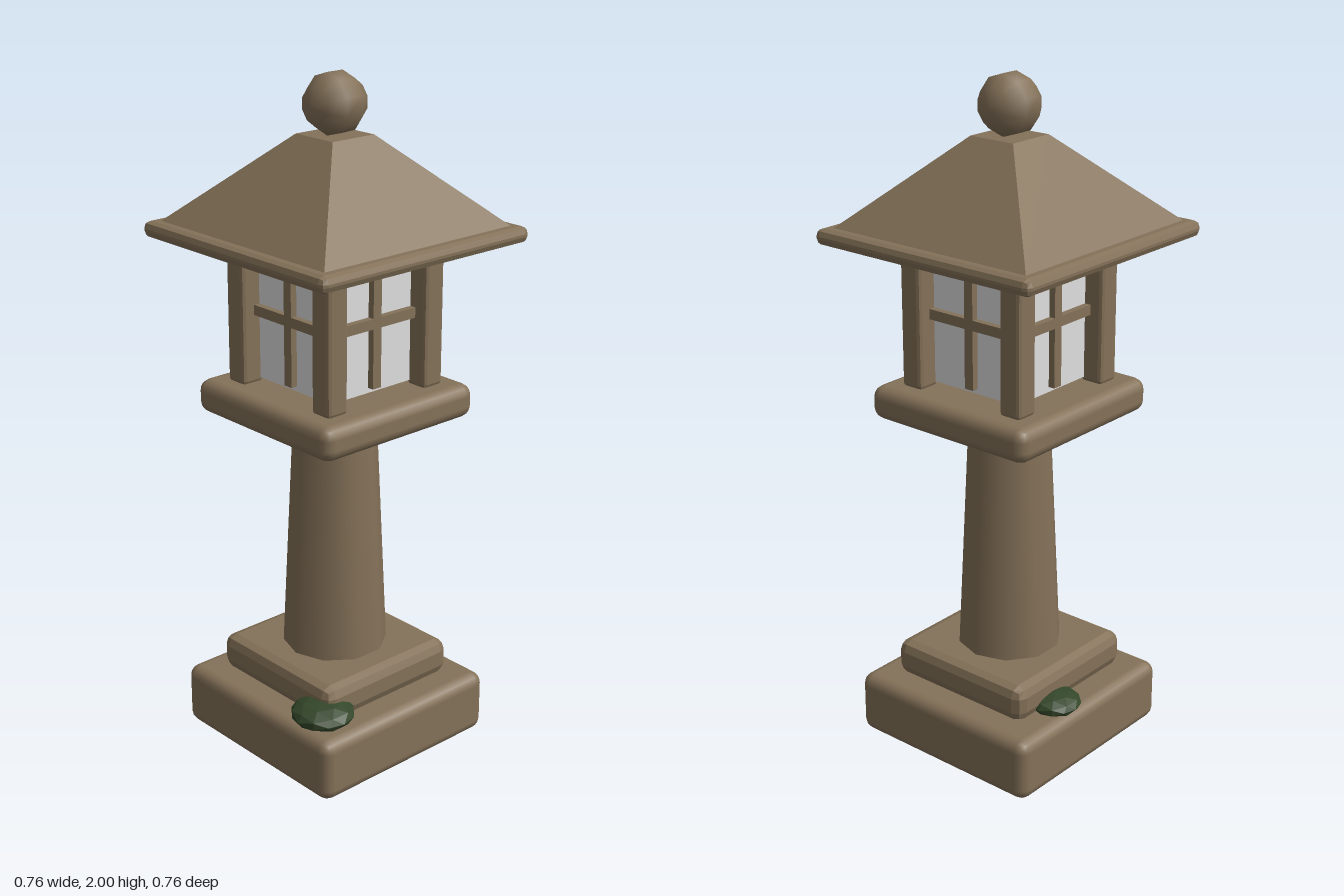
import * as THREE from 'three';
import { RoundedBoxGeometry } from 'three/addons/geometries/RoundedBoxGeometry.js';

export function createModel() {
  const lantern = new THREE.Group();
  lantern.name = 'stoneLantern';

  const material = (name, color) => {
    const m = new THREE.MeshStandardMaterial({ color });
    m.name = name;
    return m;
  };
  const stone = material('stone', 0x857259);
  const paper = material('palePanel', 0xe0e0e0);
  const mossGreen = material('moss', 0x34472a);

  const add = (name, geometry, mat, x, y, z, parent = lantern) => {
    const mesh = new THREE.Mesh(geometry, mat);
    mesh.name = name;
    mesh.position.set(x, y, z);
    parent.add(mesh);
    return mesh;
  };

  // Faceted copy with hard edges
  const facet = (geometry) => {
    const g = geometry.index ? geometry.toNonIndexed() : geometry;
    g.computeVertexNormals();
    return g;
  };

  // Square slab from y0 to y1 with softened or chamfered edges
  const slab = (name, half, y0, y1, bevel, segments) => {
    let g = new RoundedBoxGeometry(half * 2, y1 - y0, half * 2, segments, bevel);
    if (segments === 1) g = facet(g);
    return add(name, g, stone, 0, (y0 + y1) / 2, 0);
  };

  // Foot, step and tapered pillar
  slab('base', 0.322, 0, 0.19, 0.035, 2);
  slab('step', 0.242, 0.19, 0.3, 0.032, 1);
  add('pillar', new THREE.CylinderGeometry(0.12, 0.156, 0.76, 10), stone, 0, 0.66, 0);

  // Lamp house floor
  slab('platform', 0.283, 1.02, 1.12, 0.035, 2);

  // Corner posts
  for (const x of [-1, 1]) {
    for (const z of [-1, 1]) {
      const post = facet(new RoundedBoxGeometry(0.072, 0.43, 0.072, 1, 0.012));
      add('cornerPost', post, stone, x * 0.18, 1.33, z * 0.18);
    }
  }

  // Pale panels with crossed bars on all four sides
  add('lampPanels', new THREE.BoxGeometry(0.31, 0.41, 0.31), paper, 0, 1.335, 0);
  for (let i = 0; i < 4; i++) {
    const side = new THREE.Group();
    side.name = 'windowBars';
    side.rotation.y = (i * Math.PI) / 2;
    lantern.add(side);
    add('uprightBar', new THREE.BoxGeometry(0.03, 0.38, 0.03), stone, 0, 1.335, 0.16, side);
    add('crossBar', new THREE.BoxGeometry(0.3, 0.03, 0.03), stone, 0, 1.335, 0.16, side);
  }

  // Roof: eaves slab and truncated pyramid
  slab('eaves', 0.38, 1.534, 1.582, 0.02, 1);
  const hip = new THREE.CylinderGeometry(0.075 * Math.SQRT2, 0.345 * Math.SQRT2, 0.252, 4);
  hip.rotateY(Math.PI / 4);
  add('roof', facet(hip), stone, 0, 1.704, 0);

  // Finial ball
  const ball = new THREE.SphereGeometry(0.09, 10, 5);
  ball.rotateX(Math.PI / 2);
  ball.rotateZ(Math.PI / 2);
  add('finial', ball, stone, 0, 1.9144, 0);

  // Flattened moss clumps: x, y, z, radius, half height
  for (const [x, y, z, r, h] of [
    [0.21, 0.224, 0.235, 0.094, 0.038],
    [-0.25, 0.21, -0.09, 0.077, 0.031],
  ]) {
    const clump = new THREE.IcosahedronGeometry(1, 1);
    clump.scale(r, h, r);
    add('mossClump', facet(clump), mossGreen, x, y, z);
  }

  return lantern;
}
